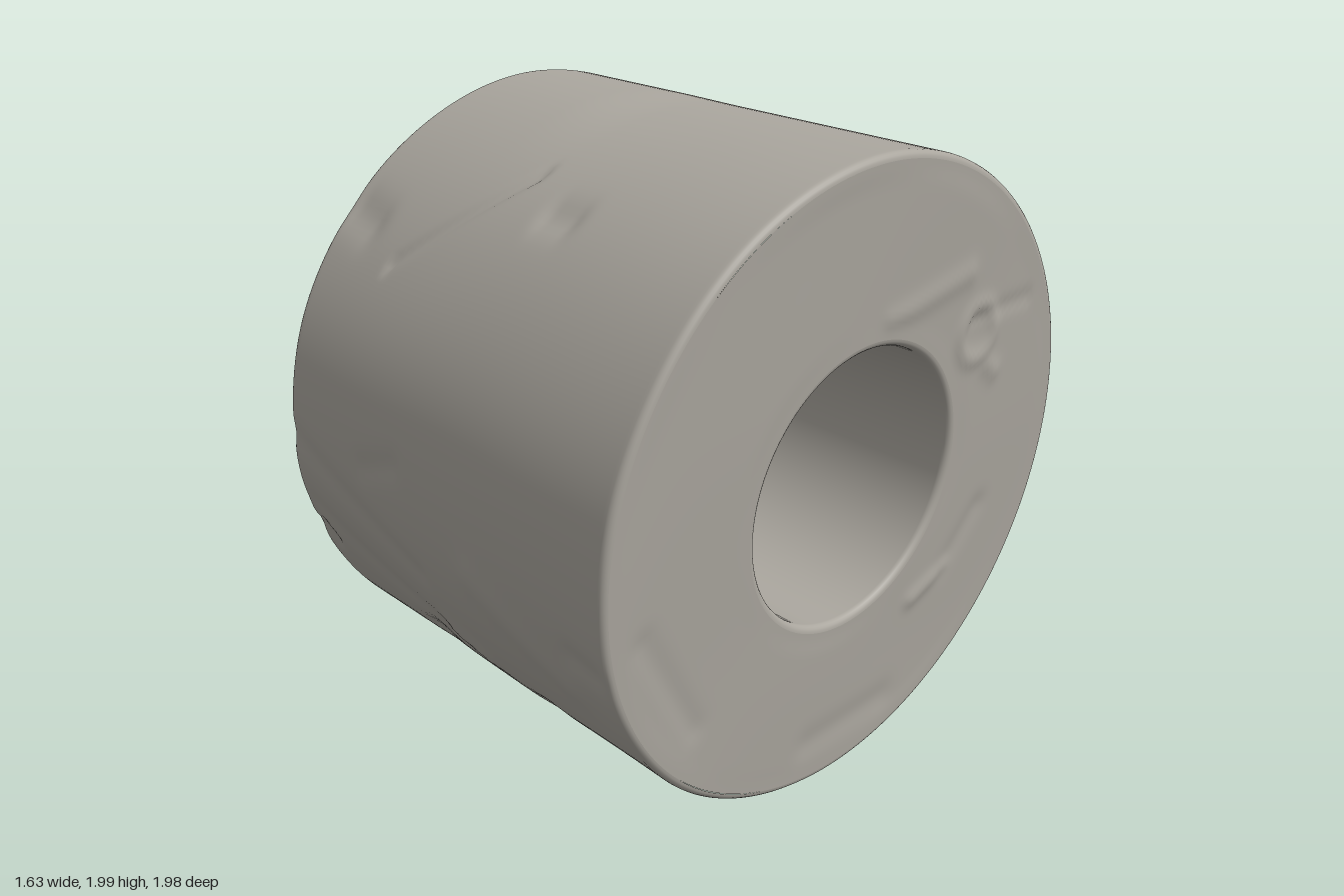
import * as THREE from 'three';

const OUTER = 0.975, BORE = 0.425, FILLET = 0.022, FS = FILLET / 0.745;
const SEGMENTS = 240;

// Smooth bump of width w, as a function of distance d
const bump = (d, w) => Math.exp(-(d * d) / (w * w));

// Distance from a point to the segment a-b
function segDist(px, py, [ax, ay, bx, by]) {
  const dx = bx - ax, dy = by - ay;
  const t = THREE.MathUtils.clamp(((px - ax) * dx + (py - ay) * dy) / (dx * dx + dy * dy), 0, 1);
  return Math.hypot(px - ax - t * dx, py - ay - t * dy);
}

// Worn marks: [ax, ay, bx, by, width, height]
const wallMarks = [ // x, y on the front half of the wall
  [-0.35, 1.57, -0.02, 1.84, 0.016, -0.012],
  [-0.05, 0.5, 0.05, 0.46, 0.05, 0.012],
  [-0.3, 0.38, -0.24, 0.41, 0.05, -0.012],
  [0.2, 0.32, 0.26, 0.34, 0.03, -0.012],
  [-0.69, 0.66, -0.66, 0.62, 0.035, -0.015],
  [-0.62, 1.67, -0.52, 1.65, 0.05, -0.012],
  [0.14, 1.77, 0.22, 1.77, 0.035, -0.012],
  [-0.7, 1.0, -0.1, 0.72, 0.04, -0.008],
  [-0.65, 0.75, 0.0, 0.42, 0.05, -0.008],
  [0.2, 0.82, 0.55, 0.62, 0.06, 0.008],
  [0.62, 0.75, 0.7, 0.73, 0.04, -0.01],
  [-0.3, 1.0, -0.15, 1.05, 0.04, -0.008],
];
const rightMarks = [ // z, y on the +x face
  [-0.1, 1.47, -0.45, 1.54, 0.035, 0.008],
  [-0.5, 1.39, -0.78, 1.4, 0.02, -0.007],
  [-0.35, 0.49, -0.5, 0.55, 0.03, 0.01],
  [-0.5, 0.55, -0.65, 0.72, 0.04, -0.007],
  [0.8, 0.8, 0.6, 0.45, 0.04, -0.006],
  [0.1, 0.16, -0.25, 0.17, 0.05, -0.006],
  [-0.6, 1.22, -0.64, 1.19, 0.03, 0.008],
];
const leftMarks = [ // z, y on the -x face
  [-0.5, 1.2, -0.55, 1.0, 0.05, 0.014],
  [-0.35, 1.4, 0.0, 1.52, 0.04, 0.012],
  [-0.5, 0.45, -0.2, 0.35, 0.04, -0.014],
  [0.6, 0.8, 0.75, 1.1, 0.05, 0.014],
  [0.15, 0.3, 0.45, 0.4, 0.04, -0.012],
  [0.2, 1.75, 0.35, 1.6, 0.03, -0.01],
  [-0.65, 0.7, -0.5, 0.85, 0.03, -0.01],
];
const sumMarks = (marks, u, v) =>
  marks.reduce((h, m) => h + m[5] * bump(segDist(u, v, m), m[4]), 0);

// Tilted frame: s runs -1..1 along the axis, both ends slant
function place(s, r, angle) {
  const dy = r * Math.cos(angle), dz = r * Math.sin(angle);
  const x = THREE.MathUtils.lerp(
    -0.75 + 0.05 * dy + 0.05 * dz,
    0.74 + 0.062 * dy + 0.045 * dz, (s + 1) / 2);
  return new THREE.Vector3(x, 1 - 0.019 * s + dy, -0.007 - 0.0175 * s + dz);
}

// Radial wear of the outer wall
function wearWall(p, s, r, angle) {
  let h = 0.009 * bump(angle - 0.1, 0.3) * THREE.MathUtils.smoothstep(-s, 0.05, 0.4);
  if (p.z > 0) {
    const fade = THREE.MathUtils.smoothstep(p.z, 0, 0.2);
    h += fade * (sumMarks(wallMarks, p.x, p.y)
      + 0.003 * Math.sin(4 * p.x + 5 * p.y) * Math.sin(7 * p.y - 3 * p.x));
  }
  return place(s, r + h, angle);
}

// Axial wear of an end face, fading out at both rims
function wearFace(side) {
  return (p, s, r) => {
    const fade = THREE.MathUtils.smoothstep(r, BORE + 0.03, BORE + 0.1)
      * (1 - THREE.MathUtils.smoothstep(r, OUTER - 0.1, OUTER - 0.03));
    let h = sumMarks(side > 0 ? rightMarks : leftMarks, p.z, p.y);
    if (side > 0) { // raised ring with a hollow centre
      const d = Math.hypot(p.z + 0.53, p.y - 1.34);
      h += 0.009 * bump(d - 0.085, 0.025) - 0.005 * bump(d, 0.05);
    }
    h += 0.003 * Math.sin(5 * p.z + 2 * p.y) * Math.sin(4 * p.y - p.z);
    p.x += side * h * fade;
    return p;
  };
}

// Sweep an (s, r) profile round the axis
function sweep(name, profile, material, wear) {
  const pos = [], index = [], n = SEGMENTS;
  profile.forEach(([s, r], i) => {
    for (let j = 0; j < n; j++) {
      const angle = (j / n) * Math.PI * 2 - Math.PI;
      let p = place(s, r, angle);
      if (wear) p = wear(p, s, r, angle);
      pos.push(p.x, p.y, p.z);
      if (i + 1 < profile.length) {
        const a = i * n + j, b = i * n + (j + 1) % n;
        index.push(a, b, a + n, b, b + n, a + n);
      }
    }
  });
  const geometry = new THREE.BufferGeometry();
  geometry.setAttribute('position', new THREE.Float32BufferAttribute(pos, 3));
  geometry.setIndex(index);
  geometry.computeVertexNormals();
  const mesh = new THREE.Mesh(geometry, material);
  mesh.name = name;
  return mesh;
}

// Straight run of profile points
const run = (s0, r0, s1, r1, n) => Array.from({ length: n + 1 }, (_, i) =>
  [THREE.MathUtils.lerp(s0, s1, i / n), THREE.MathUtils.lerp(r0, r1, i / n)]);

// Rounded profile from end to end: dir +1 for the wall, -1 for the bore
function roundedRun(radius, dir, n) {
  const start = [];
  for (let i = 0; i < 5; i++) {
    const a = (i / 5) * Math.PI / 2;
    start.push([-1 + FS * (1 - Math.sin(a)), radius - dir * FILLET * (1 - Math.sin(a))]);
    start[i][0] = -1 + FS * (1 - Math.cos(a));
  }
  const end = start.map(([s, r]) => [-s, r]).reverse();
  const points = [...start, ...run(-1 + FS, radius, 1 - FS, radius, n), ...end];
  return dir > 0 ? points : points.reverse();
}

export function createModel() {
  const group = new THREE.Group();
  group.name = 'bead';
  const stone = new THREE.MeshStandardMaterial({ color: 0xaaa69e });
  stone.name = 'warm grey stone';

  const rim = OUTER - FILLET, lip = BORE + FILLET;
  group.add(
    sweep('outerWall', roundedRun(OUTER, 1, 120), stone, wearWall),
    sweep('rightFace', run(1, rim, 1, lip, 30), stone, wearFace(1)),
    sweep('bore', roundedRun(BORE, -1, 8), stone),
    sweep('leftFace', run(-1, lip, -1, rim, 30), stone, wearFace(-1)),
  );
  return group;
}
